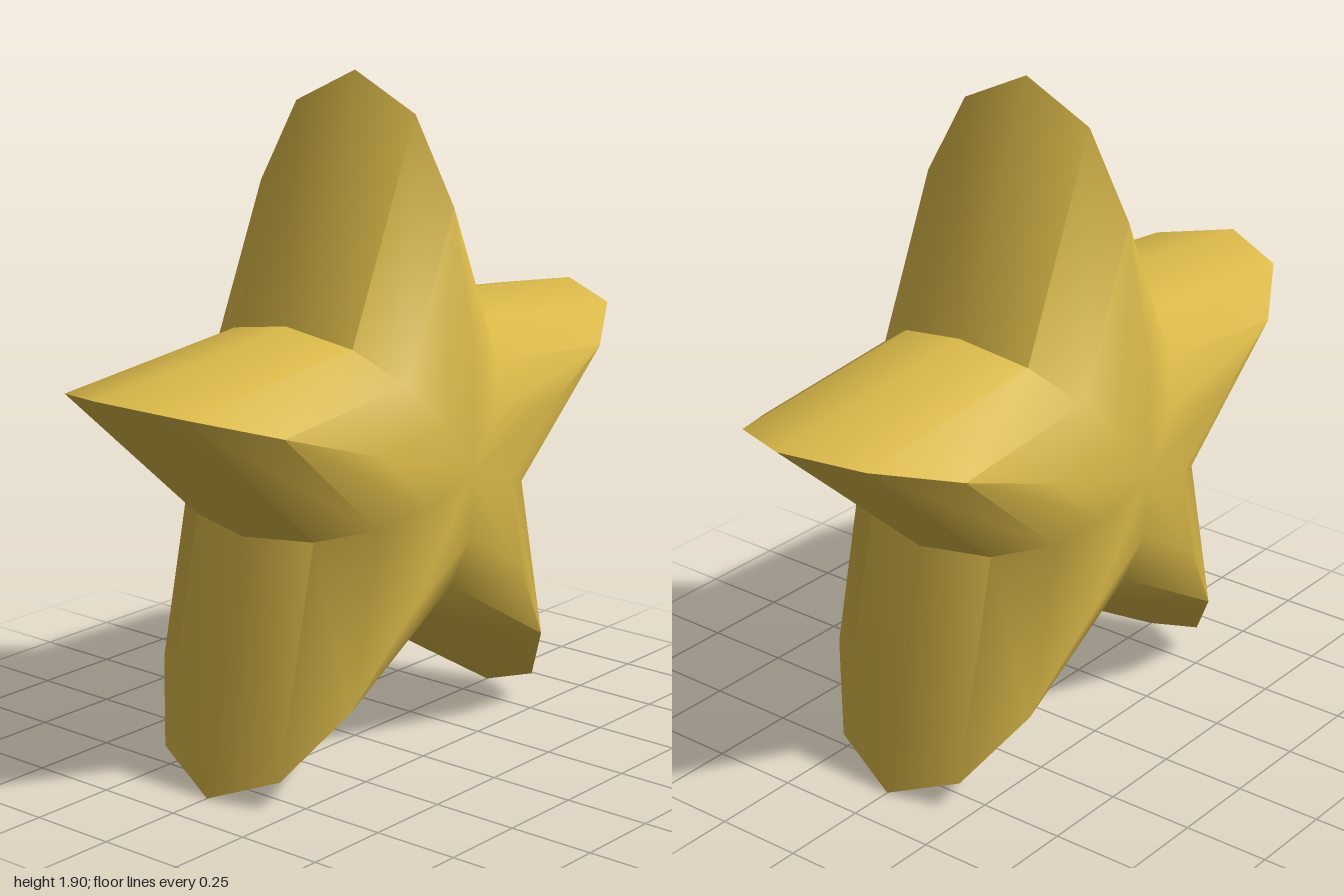
import * as THREE from 'three';
import { toCreasedNormals } from 'three/addons/utils/BufferGeometryUtils.js';

const OUTER = 1.0515, INNER = 0.487, CENTRE_Y = 0.851;

// Cross-sections from back to front: [z, scale of the star outline]
const HALF = [[0.21, 0.904], [0.343, 0.68], [0.407, 0.382]];
const RINGS = [
  ...HALF.map(([z, s]) => [-z, s]).reverse(),
  [0, 1],
  ...HALF,
];
const APEX_Z = 0.417;

// Corner i of the ten-cornered outline, counter-clockwise from the top tip
function corner(i, z, scale) {
  const r = (i % 2 ? INNER : OUTER) * scale;
  const a = Math.PI / 2 + (i * Math.PI) / 5;
  return [r * Math.cos(a), CENTRE_Y + r * Math.sin(a), z];
}

function starGeometry() {
  const positions = [];
  const tri = (a, b, c) => positions.push(...a, ...b, ...c);
  const first = RINGS[0], last = RINGS[RINGS.length - 1];

  for (let i = 0; i < 10; i++) {
    const j = (i + 1) % 10;
    // Bands between neighbouring cross-sections
    for (let k = 0; k < RINGS.length - 1; k++) {
      const a = corner(i, ...RINGS[k]), b = corner(j, ...RINGS[k]);
      const c = corner(j, ...RINGS[k + 1]), d = corner(i, ...RINGS[k + 1]);
      tri(a, b, c);
      tri(a, c, d);
    }
    // Shallow front and back centres
    tri([0, CENTRE_Y, APEX_Z], corner(i, ...last), corner(j, ...last));
    tri([0, CENTRE_Y, -APEX_Z], corner(j, ...first), corner(i, ...first));
  }

  const geometry = new THREE.BufferGeometry();
  geometry.setAttribute('position', new THREE.Float32BufferAttribute(positions, 3));
  // Sharp tips and valleys at the rim, blending smoothly toward the middle
  return toCreasedNormals(geometry, THREE.MathUtils.degToRad(53));
}

export function createModel() {
  const gold = new THREE.MeshStandardMaterial({ color: 0xd9b848 });
  gold.name = 'gold';

  const star = new THREE.Mesh(starGeometry(), gold);
  star.name = 'starBody';

  const group = new THREE.Group();
  group.name = 'star';
  group.add(star);
  return group;
}
